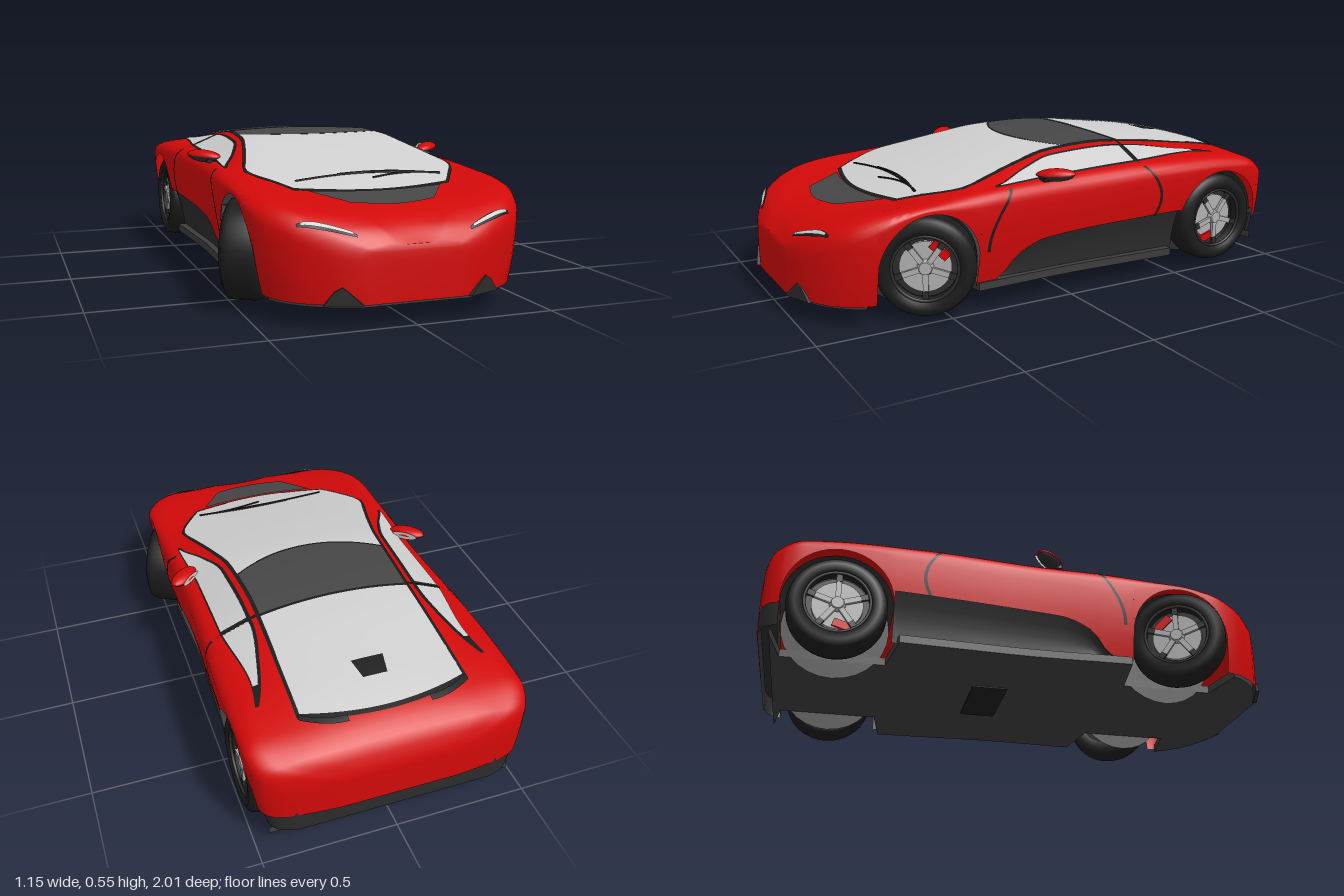
import * as THREE from 'three';
import { toCreasedNormals } from 'three/addons/utils/BufferGeometryUtils.js';

const paint = (name, color) => new THREE.MeshStandardMaterial({ name, color, side: THREE.DoubleSide });
const red = paint('red paint', 0xd20909), glass = paint('pale glass', 0xcfcfcf), roofGrey = paint('roof grey', 0x464646);
const black = paint('black trim', 0x1c1c1c), under = paint('dark plastic', 0x2c2c2c), silver = paint('silver', 0xb0b0b0);
const floorGrey = paint('floor grey', 0x3c3c3c);

// Smooth monotone curve through [z, value] pairs
function curve(p) {
  const d = p.slice(1).map((b, i) => (b[1] - p[i][1]) / (b[0] - p[i][0]));
  const m = p.map((_, i) => (i === 0 ? d[0] : i === p.length - 1 ? d[i - 1]
    : d[i - 1] * d[i] <= 0 ? 0 : 2 * d[i - 1] * d[i] / (d[i - 1] + d[i])));
  return (z) => {
    let i = 0;
    while (i < p.length - 2 && z > p[i + 1][0]) i++;
    const h = p[i + 1][0] - p[i][0], t = Math.min(1, Math.max(0, (z - p[i][0]) / h)), t2 = t * t, t3 = t2 * t;
    return (2 * t3 - 3 * t2 + 1) * p[i][1] + (t3 - 2 * t2 + t) * h * m[i] + (3 * t2 - 2 * t3) * p[i + 1][1] + (t3 - t2) * h * m[i + 1];
  };
}
// Character lines of the body: widest line, belt line, roof rail and centre line
const wide = curve([[-1, .22], [-.985, .39], [-.96, .47], [-.92, .502], [-.85, .515], [-.6, .515], [-.3, .505], [0, .495], [.4, .505], [.7, .5], [.8, .475], [.9, .4], [.96, .3], [.985, .235], [1, .17]]);
const wideY = curve([[-1, .25], [-.95, .335], [-.85, .385], [-.6, .395], [0, .375], [.4, .37], [.575, .38], [.7, .355], [.8, .31], [.9, .265], [1, .19]]);
const beltX = curve([[-1, .19], [-.98, .33], [-.955, .41], [-.85, .44], [-.6, .41], [-.3, .44], [0, .44], [.3, .455], [.55, .45], [.75, .42], [.9, .33], [.96, .25], [1, .14]]);
const beltY = curve([[-1, .285], [-.985, .335], [-.95, .382], [-.85, .425], [-.6, .45], [-.3, .445], [0, .434], [.3, .422], [.5, .408], [.7, .388], [.85, .35], [.95, .29], [1, .235]]);
const railX = curve([[-1, .14], [-.955, .33], [-.85, .31], [-.6, .305], [-.3, .3], [0, .315], [.15, .345], [.3, .385], [.4, .41], [.55, .34], [.65, .28], [.85, .2], [1, .08]]);
const railY = curve([[-1, .292], [-.985, .343], [-.95, .392], [-.85, .434], [-.6, .473], [-.4, .497], [-.2, .511], [0, .503], [.15, .476], [.3, .443], [.4, .421], [.55, .395], [.65, .372], [.85, .341], [.95, .299], [1, .246]]);
const topY = curve([[-1, .295], [-.985, .346], [-.95, .397], [-.85, .444], [-.6, .488], [-.4, .512], [-.2, .521], [0, .514], [.2, .482], [.4, .438], [.55, .402], [.66, .372], [.82, .343], [.93, .304], [1, .248]]);
const hem = curve([[-1, .16], [-.9, .16], [-.52, .24], [-.3, .235], [.1, .215], [.22, .17], [.29, .09], [.34, .07], [.8, .06], [1, .06]]);
// Share of the belt-to-rail strip filled by the side glass
const glassTop = curve([[-.73, .04], [-.62, .3], [-.36, .78], [0, .78], [.15, .6], [.29, .08]]);
const arches = [{ z: -.715, r: .2 }, { z: .575, r: .19 }];
const lerp = THREE.MathUtils.lerp, AXLE = .18;

// Half width of the flank at a height
function flank(z, y) {
  const s = wideY(z), w = wide(z);
  if (y <= s) return w - .045 * ((s - y) / .3) ** 2;
  const k = Math.min(1, (y - s) / (beltY(z) - s));
  return w + (beltX(z) - w) * (1 - Math.sqrt(1 - k * k));
}
// Height of the upper surface
function upper(x, z) {
  const a = Math.abs(x), r = railX(z), b = beltX(z), w = wide(z);
  if (a <= r) return topY(z) + (railY(z) - topY(z)) * (a / r) ** 2;
  if (a <= b) return lerp(railY(z), beltY(z), (a - r) / (b - r));
  const c = Math.min(1, (a - b) / (w - b));
  return wideY(z) + (beltY(z) - wideY(z)) * Math.sqrt(1 - c * c);
}
// One half section from hem to centre line
function halfSection(z, y0) {
  const pts = [], s = wideY(z), w = wide(z), b = beltX(z), r = railX(z);
  for (let i = 0; i < 6; i++) { const y = lerp(y0, s, i / 6); pts.push([flank(z, y), y]); }
  for (let i = 0; i < 6; i++) {
    const a = i / 6 * Math.PI / 2;
    pts.push([w + (b - w) * (1 - Math.cos(a)), s + (beltY(z) - s) * Math.sin(a)]);
  }
  pts.push([b, beltY(z)], [(b + r) / 2, (beltY(z) + railY(z)) / 2]);
  for (let i = 0; i <= 6; i++) { const x = r * (1 - i / 6); pts.push([x, upper(x, z)]); }
  return pts;
}
// Surface from rows of points
function skin(rows, capped) {
  const n = rows[0].length, pos = rows.flat(2), idx = [];
  for (let j = 0; j < rows.length - 1; j++) for (let i = 0; i < n - 1; i++) {
    const a = j * n + i;
    idx.push(a, a + 1, a + n, a + 1, a + n + 1, a + n);
  }
  if (capped) for (const [base, flip] of [[0, false], [(rows.length - 1) * n, true]])
    for (let i = 0; i < (n - 1) / 2; i++) {
      const a = base + i, b = a + 1, c = base + n - 2 - i, d = c + 1;
      flip ? idx.push(a, b, d, b, c, d) : idx.push(a, d, b, b, d, c);
    }
  const g = new THREE.BufferGeometry();
  g.setAttribute('position', new THREE.Float32BufferAttribute(pos, 3));
  g.setIndex(idx);
  return toCreasedNormals(g, .8);
}
const grid = (nu, nv, f, capped) => skin(Array.from({ length: nv + 1 }, (_, j) =>
  Array.from({ length: nu + 1 }, (_, i) => f(i / nu, j / nv))), capped);

export function createModel() {
  const car = new THREE.Group();
  const add = (name, geo, mat, parent = car) => {
    const m = new THREE.Mesh(geo, mat);
    m.name = name;
    parent.add(m);
    return m;
  };

  // Painted shell with wheel openings
  const st = [];
  for (let i = 0; i <= 66; i++) {
    const z = -1 + 2 * i / 66;
    if (!arches.some((a) => Math.abs(z - a.z) <= a.r + .004)) st.push([z, hem(z)]);
  }
  for (const z of [-.993, -.98, -.955, .955, .98, .993]) st.push([z, hem(z)]);
  st.sort((a, b) => a[0] - b[0]);
  for (const { z, r } of arches) {
    const arc = [[z - r, hem(z - r)]];
    for (let i = 0; i <= 24; i++) {
      const t = Math.PI * (1 - i / 24);
      arc.push([z + r * Math.cos(t), AXLE + r * Math.sin(t)]);
    }
    arc.push([z + r, hem(z + r)]);
    st.splice(st.findIndex((s) => s[0] > z), 0, ...arc);
  }
  add('bodyShell', skin(st.map(([z, y]) => {
    const h = halfSection(z, y);
    return [...h.map((p) => [p[0], p[1], z]), ...h.slice(0, -1).reverse().map((p) => [-p[0], p[1], z])];
  }), true), red);

  // Rear diffuser and side sills
  add('rearDiffuser', grid(9, 10, (u, v) => {
    const z = lerp(-.985, -.915, v), k = Math.min(u, 1 - u) * 2.25, y = lerp(.085, hem(z) + .01, Math.min(1, k));
    return [(u < .5 ? 1 : -1) * (flank(z, y) - .012), y, z];
  }, true), under);
  for (const s of [-1, 1]) add('sill', grid(4, 24, (u, v) => {
    const z = lerp(-.515, .32, v), y = lerp(.06, hem(z) + .01, u);
    return [s * (flank(z, y) - .012 - .015 * Math.sin(u * Math.PI)), y, z];
  }), under);

  // Floor with wheel notches
  const side = [];
  for (let i = 0; i <= 60; i++) {
    const z = lerp(-.94, .988, i / 60), inArch = arches.some((a) => Math.abs(z - a.z) < a.r);
    side.push(new THREE.Vector2(inArch ? .27 : wide(z) - .035, z));
  }
  const outline = new THREE.Shape([...side, ...side.map((p) => new THREE.Vector2(-p.x, p.y)).reverse()]);
  const floor = add('floor', new THREE.ExtrudeGeometry(outline, { depth: .03, bevelEnabled: false }), floorGrey);
  floor.rotation.x = Math.PI / 2;
  floor.position.y = .08;
  add('floorVent', new THREE.BoxGeometry(.3, .004, .14), black).position.set(0, .049, -.1);

  // Plates that follow the upper surface
  const plate = (name, mat, back, front, half, off = .006) => add(name, grid(20, 24, (u, v) => {
    const s = v * 2 - 1, z = lerp(back(s), front(s), u), x = s * half(z);
    return [x, upper(x, z) + off, z];
  }), mat);
  const roofFront = (s) => .02 - .1 * s * s, seam = (s) => -.32 - .02 * s * s;
  plate('glassSurround', black, (s) => -.875 + .05 * s * s, (s) => .677 - .05 * s * s, (z) => railX(z) + .004, .003);
  plate('windscreen', glass, (s) => roofFront(s) + .004, (s) => .664 - .05 * s * s, (z) => railX(z) - .008);
  plate('roofPanel', roofGrey, (s) => seam(s) + .006, roofFront, (z) => railX(z) - .008);
  plate('rearGlass', glass, (s) => -.86 + .05 * s * s, (s) => seam(s) - .006, (z) => railX(z) - .008);
  plate('bonnetPanel', roofGrey, (s) => .678 - .03 * s * s, (s) => .822 - .03 * s * s, (z) => lerp(.25, .15, (z - .65) / .15));
  plate('rearGlassPlate', black, () => -.74, () => -.66, (z) => lerp(.045, .06, (z + .74) / .08), .009);

  for (const s of [-1, 1]) {
    // Tapered side windows with thin black surrounds
    const sideGlass = (name, mat, z0, z1, lo, grow, off) => add(name, grid(4, 28, (u, v) => {
      const z = lerp(z0, z1, v), f = lerp(lo, Math.max(lo, glassTop(z) + grow), u);
      return [s * (lerp(beltX(z), railX(z), f) + off), lerp(beltY(z), railY(z), f) + off, z];
    }), mat);
    sideGlass('sideWindowSurround', black, -.73, .3, 0, .07, .002);
    sideGlass('frontSideWindow', glass, -.322, .28, .05, 0, .005);
    sideGlass('rearSideWindow', glass, -.64, -.342, .05, 0, .005);

    // Door gaps and the roof seam running into them
    const gap = (path) => add('doorGap', grid(1, 16, (u, v) => {
      const [z, y] = path(v), zz = z + (u - .5) * .013;
      return [s * (flank(zz, y) + .003), y, zz];
    }), black);
    gap((v) => [-.335 - .075 * Math.sin(v * 2.4), lerp(.445, .235, v)]);
    gap((v) => [.25 + .1 * Math.sin(v * 1.6), lerp(.42, .2, v)]);
    add('pillarSeam', grid(4, 2, (u, v) => {
      const z = -.34 + .012 * v;
      return [s * (lerp(beltX(z), railX(z), u) + .004), lerp(beltY(z), railY(z), u) + .004, z];
    }), black);

    // Slim headlamps
    for (const [name, mat, w, off, trim] of [['headlampFrame', black, .022, .004, 0], ['headlamp', glass, .014, .008, .06]])
      add(name, grid(2, 12, (u, v) => {
        const t = lerp(trim, 1 - trim, v), x = lerp(.2, .38, t);
        const z = lerp(.968, .9, t) + (u - .5) * w * (.3 + .7 * Math.sin(Math.PI * t));
        return [s * x, upper(x, z) + off, z + off * .5];
      }), mat);

    // Rear deck vents
    add('deckVent', grid(3, 10, (u, v) => {
      const x = lerp(.15, .31, v), z = lerp(-.885, -.862, u) + .05 * v * v;
      return [s * x, upper(x, z) + .008, z];
    }), black);

    // Bumper intakes, turned to follow the nose
    const intake = new THREE.Shape([[-.07, .06], [.06, .06], [.025, .105], [0, .12], [-.02, .105]].map((p) => new THREE.Vector2(s * p[0], p[1])));
    const inMesh = add('bumperIntake', new THREE.ExtrudeGeometry(intake, { depth: .014, bevelEnabled: false }), under);
    inMesh.position.set(s * .25, 0, .97);
    inMesh.rotation.y = s * .36;

    // Door mirror
    const mirror = new THREE.Group();
    mirror.name = 'doorMirror';
    mirror.position.set(s * .483, .448, .065);
    mirror.rotation.set(0, s * .8, s * .06);
    car.add(mirror);
    add('mirrorCap', new THREE.SphereGeometry(1, 20, 12, 0, Math.PI * 2, 0, Math.PI / 2), red, mirror).scale.set(.075, .024, .035);
    add('mirrorBase', new THREE.SphereGeometry(1, 20, 12, 0, Math.PI * 2, Math.PI / 2, Math.PI / 2), under, mirror).scale.set(.07, .024, .032);
    const pane = add('mirrorGlass', new THREE.CircleGeometry(1, 20), glass, mirror);
    pane.scale.set(.055, .016, 1);
    pane.position.set(0, .002, -.033);
    pane.rotation.y = Math.PI;
    const arm = add('mirrorArm', new THREE.BoxGeometry(.08, .014, .025), black);
    arm.position.set(s * .44, .432, .1);

    for (const { z, r } of arches) {
      // Wheel housing
      const liner = add('wheelHousing', new THREE.CylinderGeometry(r, r, .2, 28, 1, true, 0, Math.PI), under);
      liner.rotation.z = Math.PI / 2;
      liner.position.set(s * .37, AXLE, z);
      const wall = add('housingWall', new THREE.CircleGeometry(r, 28), under);
      wall.rotation.y = s * Math.PI / 2;
      wall.position.set(s * .27, AXLE, z);

      // Wheel, the front pair steered
      const front = z > 0, hubGroup = new THREE.Group(), wheel = new THREE.Group();
      hubGroup.name = front ? 'frontWheel' : 'rearWheel';
      hubGroup.position.set(s * (front ? .445 : .433), AXLE, z);
      hubGroup.rotation.y = front ? -.48 : 0;
      wheel.rotation.z = -s * Math.PI / 2;
      hubGroup.add(wheel);
      car.add(hubGroup);
      const profile = [[.115, -.06], [.15, -.07], [.172, -.058], [.18, -.035], [.18, .035], [.172, .058], [.15, .07], [.122, .064], [.115, .02]];
      add('tyre', new THREE.LatheGeometry(profile.map((p) => new THREE.Vector2(...p)), 40), black, wheel);
      add('wheelBack', new THREE.CylinderGeometry(.117, .117, .05, 32), under, wheel).position.y = -.015;
      add('brakeDisc', new THREE.CylinderGeometry(.092, .092, .014, 32), silver, wheel).position.y = .025;
      const caliper = add('brakeCaliper', new THREE.BoxGeometry(.03, .022, .075), red, wheel);
      caliper.position.set(s * (front ? -.058 : .08), .03, front ? -.05 : .025);
      caliper.rotation.y = s * (front ? -.75 : .3);
      const rim = add('rimRing', new THREE.TorusGeometry(.117, .006, 8, 40), under, wheel);
      rim.rotation.x = Math.PI / 2;
      rim.position.y = .058;
      for (let i = 0; i < 5; i++) {
        const spoke = new THREE.Group();
        spoke.rotation.y = i * Math.PI * .4;
        wheel.add(spoke);
        add('spoke', new THREE.BoxGeometry(.07, .012, .02), silver, spoke).position.set(.055, .045, 0);
        add('spokeTip', new THREE.BoxGeometry(.03, .012, .022), under, spoke).position.set(.1, .047, 0);
      }
      add('hub', new THREE.CylinderGeometry(.022, .03, .02, 20), silver, wheel).position.y = .047;
    }
  }

  // Wipers
  for (const [x0, z0, x1, z1] of [[-.27, .565, .2, .535], [-.1, .53, .3, .55], [.02, .575, .3, .545]]) {
    const pts = [0, .25, .5, .75, 1].map((t) => {
      const x = lerp(x0, x1, t), z = lerp(z0, z1, t) - .02 * Math.sin(Math.PI * t);
      return new THREE.Vector3(x, upper(x, z) + .01, z);
    });
    add('wiper', new THREE.TubeGeometry(new THREE.CatmullRomCurve3(pts), 16, .0035, 5), black);
  }
  return car;
}
